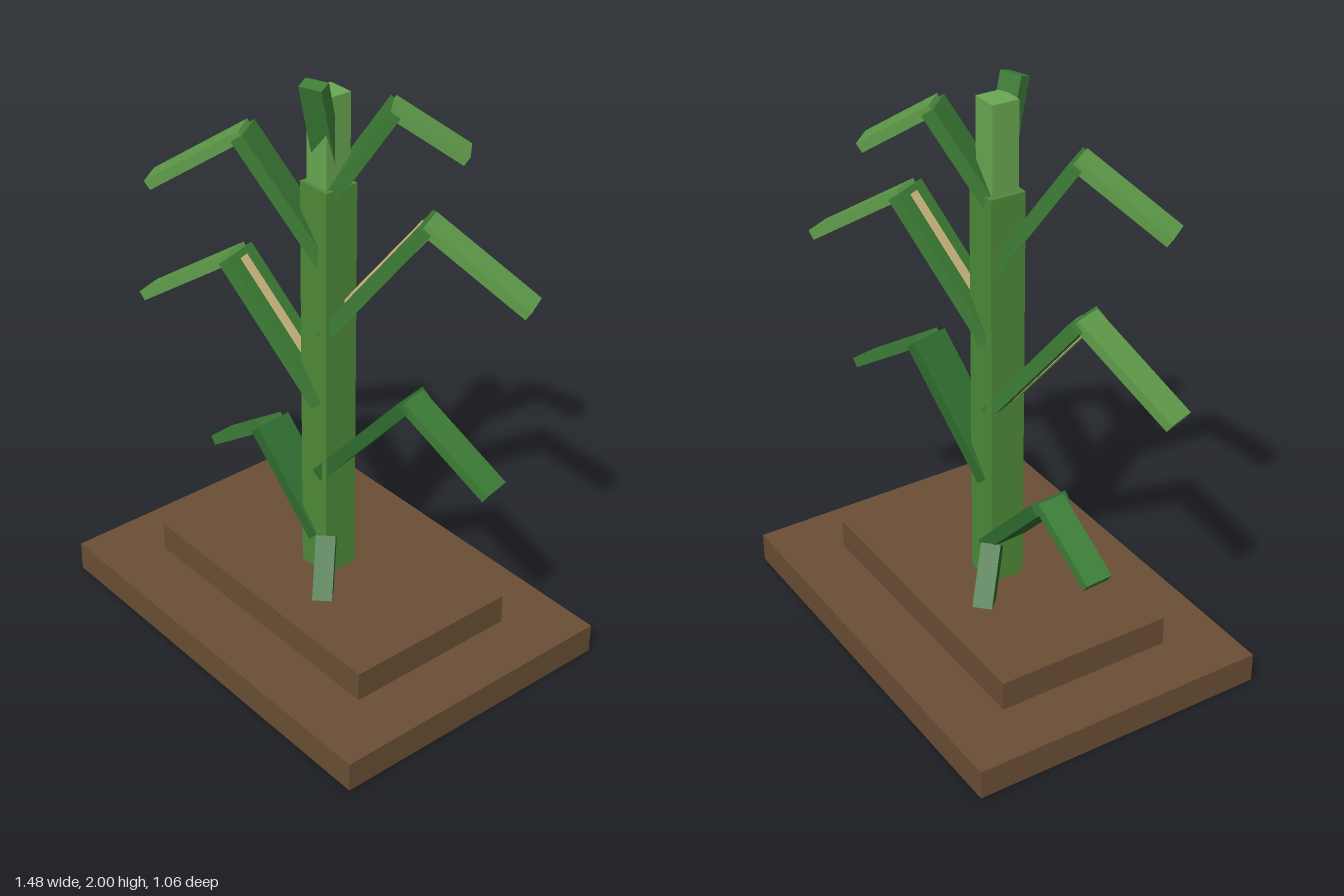
import * as THREE from 'three';

const mat = (name, color) => {
  const m = new THREE.MeshStandardMaterial({ color });
  m.name = name;
  return m;
};

export function createModel() {
  const model = new THREE.Group();
  model.name = 'cornPlant';

  const soil = mat('soil brown', 0x6b4f35);
  const dark = mat('dark green', 0x2f6b2f);
  const mid = mat('leaf green', 0x3d7d36);
  const stem = mat('stalk green', 0x4f8c3a);
  const light = mat('light green', 0x5f9c4a);
  const pale = mat('pale green', 0x6aa954);
  const tan = mat('husk tan', 0xd0bb82);

  const block = (name, material, w, y0, y1, d) => {
    const mesh = new THREE.Mesh(new THREE.BoxGeometry(w, y1 - y0, d), material);
    mesh.name = name;
    mesh.position.y = (y0 + y1) / 2;
    model.add(mesh);
  };

  // A slanted board from (radius, height) a to b, turned az degrees from +x towards +z
  const board = (parent, name, material, az, a, b, width, thick) => {
    const dr = b[0] - a[0], dy = b[1] - a[1];
    const geo = new THREE.BoxGeometry(Math.hypot(dr, dy), thick, width);
    geo.rotateZ(Math.atan2(dy, dr));
    geo.translate((a[0] + b[0]) / 2, (a[1] + b[1]) / 2, 0);
    geo.rotateY(-az * Math.PI / 180);
    const mesh = new THREE.Mesh(geo, material);
    mesh.name = name;
    parent.add(mesh);
  };

  // Soil steps and stalk
  block('soilBase', soil, 1.48, 0, 0.105, 1.06);
  block('soilMound', soil, 1.06, 0.105, 0.21, 0.63);
  block('stalk', stem, 0.125, 0.21, 1.64, 0.125);
  block('upperStalk', pale, 0.095, 1.64, 1.94, 0.095);

  // Prop roots on one diagonal
  for (const az of [45, 225]) {
    board(model, 'propRoot', dark, az, [0.08, 0.365], [0.24, 0.16], 0.067, 0.05);
  }

  // Leaves: azimuth, root height, elbow, tip, rise width, colours, husk stripe
  const leaves = [
    [176, 0.335, [0.29, 0.635], [0.535, 0.465], 0.14, dark, mid, false],
    [-12, 0.595, [0.34, 0.98], [0.655, 0.77], 0.14, dark, mid, false],
    [160.5, 0.865, [0.35, 1.3], [0.695, 1.067], 0.14, mid, light, true],
    [-28, 1.125, [0.335, 1.56], [0.67, 1.337], 0.14, mid, light, true],
    [144, 1.385, [0.27, 1.78], [0.57, 1.582], 0.13, mid, light, false],
    [-44, 1.6, [0.2, 1.895], [0.422, 1.752], 0.125, mid, light, false],
  ];
  for (const [az, y, elbow, tip, w, riseMat, droopMat, striped] of leaves) {
    const leaf = new THREE.Group();
    leaf.name = 'leaf';
    board(leaf, 'leafRise', riseMat, az, [0.005, y], elbow, w, 0.045);
    board(leaf, 'leafDroop', droopMat, az, [elbow[0] - 0.01, elbow[1] + 0.004], tip, 0.1, 0.035);
    // Husk stripe shows on both faces of the rising blade
    if (striped) {
      const at = (t) => [elbow[0] * t, y + (elbow[1] - y) * t];
      board(leaf, 'huskStripe', tan, az, at(0.1), at(0.96), 0.035, 0.053);
    }
    model.add(leaf);
  }

  // Short leaf at the crown
  board(model, 'crownLeaf', mid, 70, [0, 1.7], [0.087, 1.99], 0.08, 0.045);

  return model;
}
